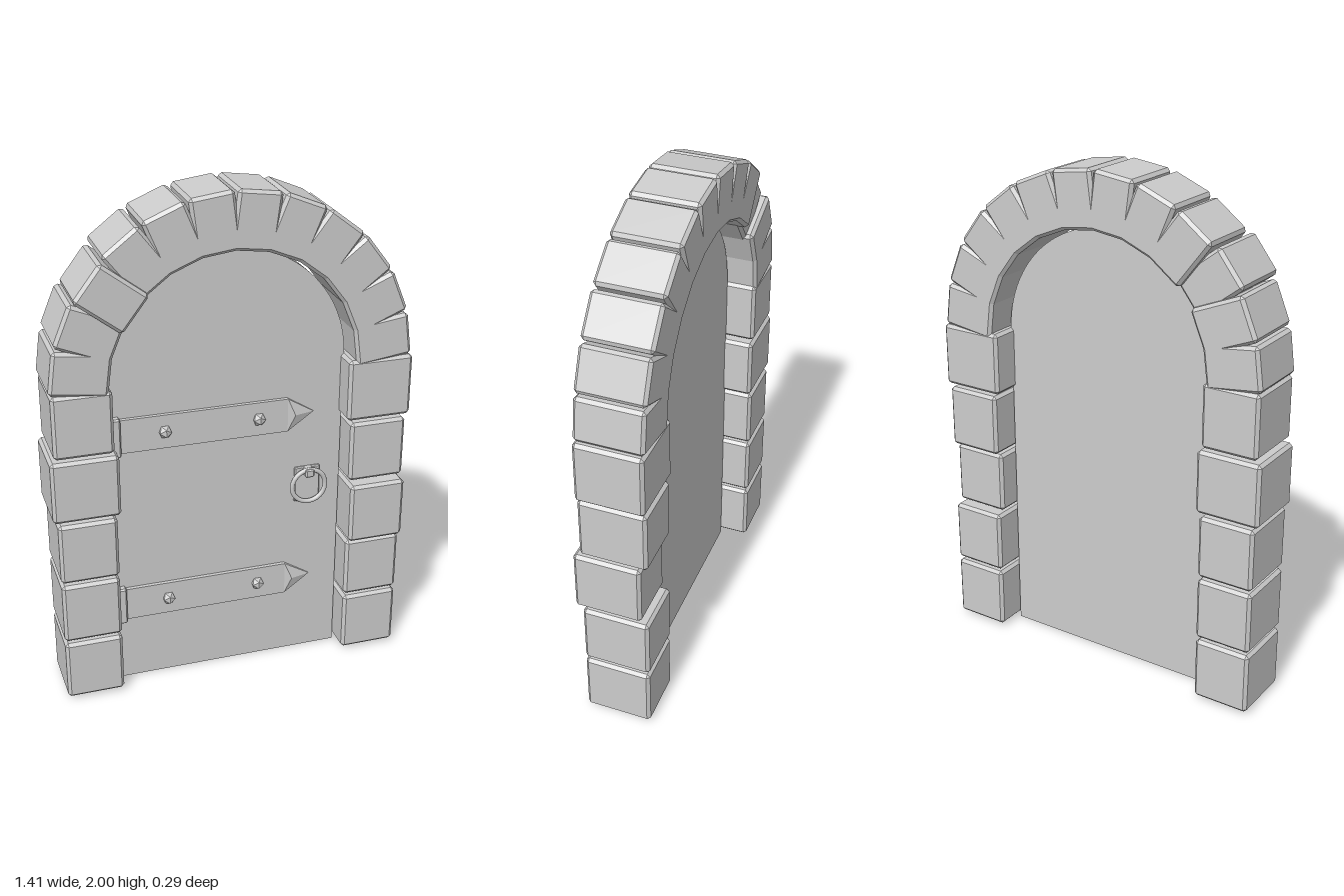
import * as THREE from 'three';
import { ConvexGeometry } from 'three/addons/geometries/ConvexGeometry.js';

const stone = new THREE.MeshStandardMaterial({ color: 0xcccccc });
stone.name = 'plain grey';

const ARCH_Y = 1.3;      // height where the arch springs
const DEPTH = 0.26;      // stone depth
const STONE_Z = -0.014;  // middle of the stones
const PROUD = 0.028;     // forward shift of the loose stones

function addMesh(parent, name, geometry, x = 0, y = 0, z = 0) {
  const mesh = new THREE.Mesh(geometry, stone);
  mesh.name = name;
  mesh.position.set(x, y, z);
  parent.add(mesh);
  return mesh;
}

// Box with every edge chamfered by b
function chamferBox(w, h, d, b = 0.012) {
  const pts = [];
  for (const sx of [-1, 1]) for (const sy of [-1, 1]) for (const sz of [-1, 1]) {
    const x = w / 2, y = h / 2, z = d / 2;
    pts.push(
      new THREE.Vector3(sx * x, sy * (y - b), sz * (z - b)),
      new THREE.Vector3(sx * (x - b), sy * y, sz * (z - b)),
      new THREE.Vector3(sx * (x - b), sy * (y - b), sz * z));
  }
  return new ConvexGeometry(pts);
}

function buildPillars(group) {
  for (const side of [-1, 1]) {
    const wideRow = side < 0 ? 3 : 4;
    for (let row = 0; row < 5; row++) {
      const wide = row === wideRow;
      const width = wide ? 0.258 : 0.226;
      const z = STONE_Z + (side > 0 && row === 2 ? PROUD : 0);
      addMesh(group, side > 0 ? 'leftPillarStone' : 'rightPillarStone',
        chamferBox(width, 0.248, DEPTH), side * 0.577, 0.136 + row * 0.2605, z);
    }
  }
}

function buildArch(group) {
  const count = 12, inner = 0.472, outer = 0.692;
  for (let i = 0; i < count; i++) {
    const a = Math.PI * (i + 0.5) / count;
    const r = (inner + outer) / 2;
    const loose = i === 9;
    const mesh = addMesh(group, 'archStone', chamferBox(outer - inner, 0.168, DEPTH),
      r * Math.cos(a), ARCH_Y + r * Math.sin(a), STONE_Z + (loose ? PROUD : 0));
    mesh.rotation.z = a;
  }
}

function buildDoor(group) {
  const shape = new THREE.Shape();
  shape.moveTo(-0.457, 0);
  shape.lineTo(0.457, 0);
  shape.lineTo(0.457, ARCH_Y);
  shape.absarc(0, ARCH_Y, 0.46, 0, Math.PI, false);
  shape.lineTo(-0.457, 0);
  const panel = new THREE.ExtrudeGeometry(shape, { depth: 0.05, bevelEnabled: false, curveSegments: 32 });
  addMesh(group, 'doorPanel', panel, 0, 0, -0.03);
}

// Hinge strap with barrel, pointed tip and two studs
function buildStrap(y) {
  const strap = new THREE.Group();
  strap.name = 'hingeStrap';
  strap.position.set(0, y, 0.02);
  addMesh(strap, 'strapBar', new THREE.BoxGeometry(0.665, 0.136, 0.016), -0.1, 0, 0.008);
  addMesh(strap, 'hingeBarrel', chamferBox(0.034, 0.158, 0.034, 0.006), -0.443, 0, 0.014);
  const tip = new ConvexGeometry([
    new THREE.Vector3(0.232, -0.068, 0), new THREE.Vector3(0.232, 0.068, 0),
    new THREE.Vector3(0.232, -0.068, 0.016), new THREE.Vector3(0.232, 0.068, 0.016),
    new THREE.Vector3(0.26, 0, 0.026), new THREE.Vector3(0.34, 0, 0),
    new THREE.Vector3(0.34, 0, 0.006)]);
  addMesh(strap, 'strapTip', tip);
  for (const x of [-0.255, 0.115]) {
    const stud = new THREE.IcosahedronGeometry(0.027, 0);
    addMesh(strap, 'stud', stud, x, 0, 0.018);
  }
  return strap;
}

// Back plate, holder and pull ring
function buildHandle() {
  const handle = new THREE.Group();
  handle.name = 'pullHandle';
  handle.position.set(0.32, 0.768, 0.02);
  addMesh(handle, 'handlePlate', chamferBox(0.105, 0.15, 0.014, 0.004), 0, 0, 0.005);
  addMesh(handle, 'ringHolder', chamferBox(0.036, 0.034, 0.045, 0.005), 0, 0.058, 0.024);
  addMesh(handle, 'ring', new THREE.TorusGeometry(0.069, 0.0095, 8, 24), 0, 0, 0.03);
  return handle;
}

export function createModel() {
  const model = new THREE.Group();
  model.name = 'archedDoor';
  buildPillars(model);
  buildArch(model);
  buildDoor(model);
  for (const y of [0.348, 1.078]) model.add(buildStrap(y));
  model.add(buildHandle());
  return model;
}
